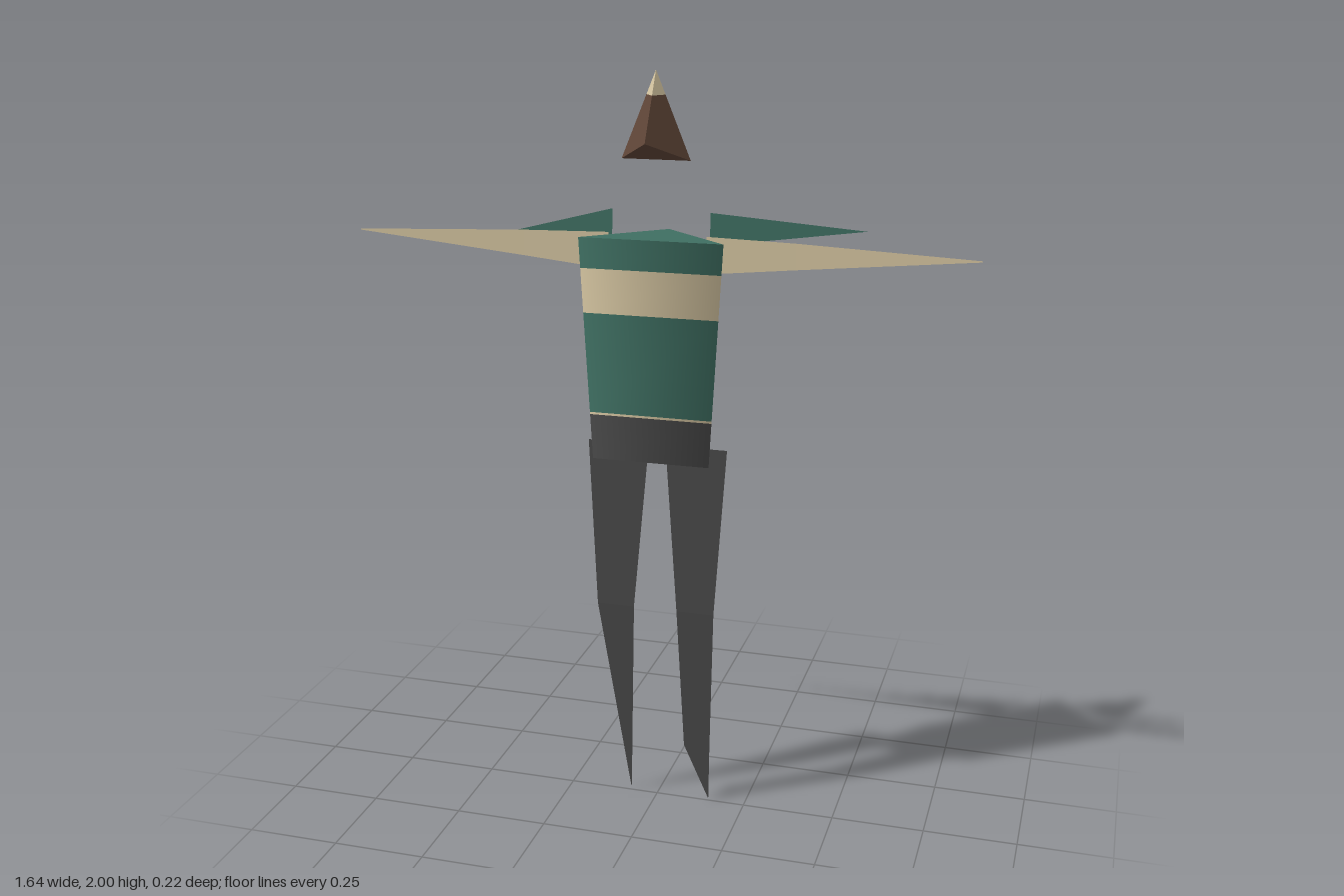
import * as THREE from 'three';

const material = (name, color) => {
  const m = new THREE.MeshStandardMaterial({ color, side: THREE.DoubleSide });
  m.name = name;
  return m;
};

// Surface from a list of triangles, each given as three corner points
function surface(triangles) {
  const g = new THREE.BufferGeometry();
  g.setAttribute('position', new THREE.Float32BufferAttribute(triangles.flat(2), 3));
  g.computeVertexNormals();
  return g;
}

// Thin sheet joining rows of two points [a, b]
function strip(rows) {
  const tris = [];
  for (let i = 0; i < rows.length - 1; i++) {
    const [a, b] = rows[i], [c, d] = rows[i + 1];
    tris.push([a, c, d], [a, d, b]);
  }
  return surface(tris);
}

// Three-sided torso section that narrows in x towards the waist
function torsoSection(bottom, top) {
  const g = new THREE.CylinderGeometry(1, 1, top - bottom, 3, 1, false, Math.PI);
  g.translate(0, (top + bottom) / 2, 0);
  const p = g.attributes.position;
  for (let i = 0; i < p.count; i++) {
    const halfWidth = 0.157 + (p.getY(i) - 1) * 0.056;
    p.setX(i, p.getX(i) / Math.sin(Math.PI / 3) * halfWidth);
    p.setZ(i, p.getZ(i) * 0.118 + 0.006);
  }
  return g;
}

export function createModel() {
  const model = new THREE.Group();
  const green = material('green', 0x3f6f62);
  const tan = material('tan', 0xd4c4a0);
  const charcoal = material('charcoal', 0x484848);
  const brown = material('brown', 0x604638);

  const add = (name, geometry, mat) => {
    const mesh = new THREE.Mesh(geometry, mat);
    mesh.name = name;
    model.add(mesh);
  };

  // Torso, stacked in coloured bands
  [
    ['waist', 1.0, 1.12, charcoal],
    ['beltLine', 1.12, 1.126, tan],
    ['shirt', 1.126, 1.39, green],
    ['chestStripe', 1.39, 1.506, tan],
    ['shirtTop', 1.506, 1.585, green],
  ].forEach(([name, y0, y1, mat]) => add(name, torsoSection(y0, y1), mat));

  // Head: a pyramid with a flat back, cut across below its light tip
  const apex = [0, 2, 0.01];
  const base = [[-0.09, 1.78, 0.01], [0, 1.83, 0.11], [0.09, 1.78, 0.01]];
  const cut = base.map((p) => {
    const t = 0.06 / (2 - p[1]);
    return p.map((v, i) => apex[i] + (v - apex[i]) * t);
  });
  const headSides = [], tipSides = [];
  for (let i = 0; i < 3; i++) {
    const j = (i + 1) % 3;
    headSides.push([base[i], base[j], cut[j]], [base[i], cut[j], cut[i]]);
    tipSides.push([cut[i], cut[j], apex]);
  }
  headSides.push([base[0], base[2], base[1]]);
  add('head', surface(headSides), brown);
  add('headTip', surface(tipSides), tan);

  // Arms: flat blades tapering to a point
  for (const [name, s] of [['leftArm', 1], ['rightArm', -1]]) {
    add(name, strip([
      [[s * 0.13, 1.59, 0], [s * 0.13, 1.494, 0]],
      [[s * 0.36, 1.585, 0.003], [s * 0.36, 1.518, 0.003]],
      [[s * 0.82, 1.567, 0.01], [s * 0.82, 1.564, 0.01]],
    ]), tan);
  }

  // Sleeves: flat triangles behind the arms
  add('leftSleeve', surface([
    [[0.13, 1.56, -0.035], [0.53, 1.615, -0.045], [0.13, 1.645, -0.035]],
  ]), green);
  add('rightSleeve', surface([
    [[-0.13, 1.51, -0.03], [-0.13, 1.645, -0.035], [-0.5, 1.55, -0.025]],
  ]), green);

  // Legs: flat blades bent slightly forward at the knee
  const thigh = (s) => [
    [[s * 0.19, 1.03, 0], [s * 0.023, 1.03, 0]],
    [[s * 0.163, 0.57, 0.02], [s * 0.06, 0.57, 0.02]],
  ];
  add('leftLeg', strip([
    ...thigh(1),
    [[0.15, 0.16, -0.003], [0.077, 0.16, -0.003]],
    [[0.147, 0, -0.008], [0.147, 0, -0.008]],
  ]), charcoal);
  add('rightLeg', strip([
    ...thigh(-1),
    [[-0.079, 0.01, -0.008], [-0.077, 0.01, -0.008]],
  ]), charcoal);

  return model;
}
